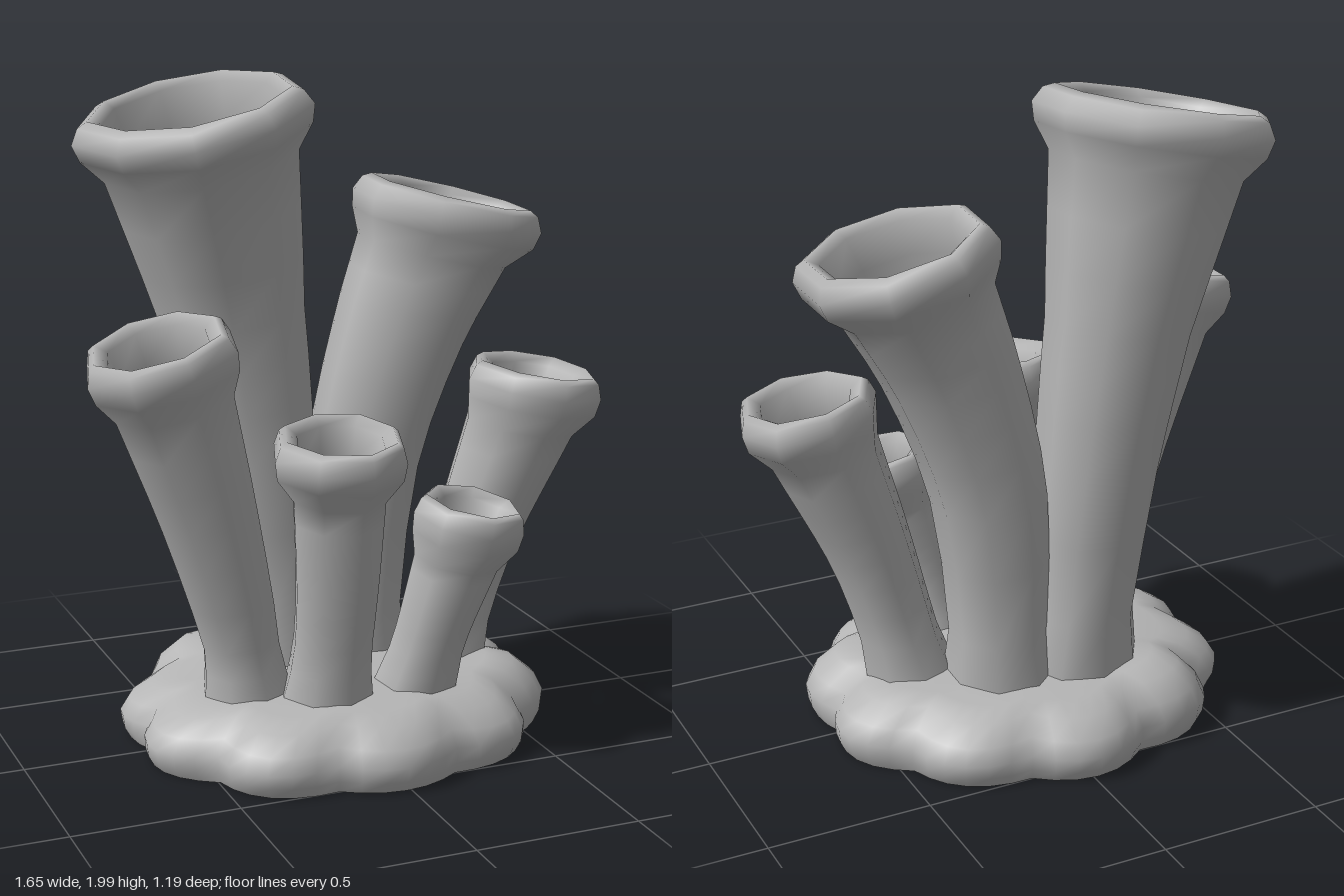
import * as THREE from 'three';

const grey = new THREE.MeshStandardMaterial({ color: 0xb6b6b6 });
grey.name = 'stone grey';

// Small seeded random in -1..1
function makeRandom(seed) {
  let s = seed;
  return () => {
    s = (s * 16807) % 2147483647;
    return (s / 2147483647) * 2 - 1;
  };
}

// Skin a list of closed rings (arrays of Vector3, counter-clockwise seen from the end of the path)
function skin(rings) {
  const n = rings[0].length, index = [];
  for (let i = 0; i < rings.length - 1; i++) {
    for (let j = 0; j < n; j++) {
      const k = (j + 1) % n, a = i * n, b = a + n;
      index.push(a + j, a + k, b + k, a + j, b + k, b + j);
    }
  }
  const geo = new THREE.BufferGeometry().setFromPoints(rings.flat());
  geo.setIndex(index);
  geo.computeVertexNormals();
  return geo;
}

// Ring around a centre, in the plane with the given normal
function ring(centre, normal, radius, turn, wobble) {
  const n = normal.clone().normalize();
  const q = new THREE.Quaternion().setFromUnitVectors(new THREE.Vector3(0, 1, 0), n);
  return wobble.map((w, j) => {
    const a = turn + (j / wobble.length) * Math.PI * 2, r = radius * (1 + w);
    return new THREE.Vector3(Math.cos(a) * r, 0, -Math.sin(a) * r).applyQuaternion(q).add(centre);
  });
}

// Hollow tube: stem stations are [x, y, z, radius]; rim is [x, y, z, lip radius, neck radius]
function tube({ stem, rim, tilt, sides, turn }, seed) {
  const rand = makeRandom(seed);
  const wobble = Array.from({ length: sides }, () => rand() * 0.035);
  const up = new THREE.Vector3(0, 1, 0), axis = new THREE.Vector3(...tilt).normalize();
  const [x, y, z, lip, neckRadius] = rim;
  const top = new THREE.Vector3(x, y, z);
  const points = stem.map((p) => new THREE.Vector3(p[0], p[1], p[2]));
  const neck = points.at(-1).clone().sub(top).setLength(0.12).add(top);
  const curve = new THREE.CatmullRomCurve3([...points, neck]);
  const radii = [...stem.map((p) => p[3]), neckRadius];
  const rings = [];

  // stem, flaring where it meets the base
  const steps = 9;
  for (let i = 0; i <= steps; i++) {
    const t = i / steps, f = t * (radii.length - 1), k = Math.min(Math.floor(f), radii.length - 2);
    const centre = curve.getPoint(t);
    const flare = 1 + 0.35 * Math.max(0, 1 - (centre.y - 0.1) / 0.22);
    const r = THREE.MathUtils.lerp(radii[k], radii[k + 1], f - k) * flare;
    rings.push(ring(centre, up.clone().lerp(axis, t), r, turn, wobble));
  }

  // rolled lip: [height along axis, share of lip radius]; small tubes have narrower mouths
  const mouth = 0.5 + 0.62 * lip;
  for (const [h, s] of [[-0.045, 0.96], [0.01, 1], [0.055, 0.93], [0.07, 0.84], [0.045, mouth + 0.03]]) {
    rings.push(ring(top.clone().addScaledVector(axis, h), axis, lip * s, turn, wobble));
  }

  // hollow, tapering down inside the stem
  const down = neck.clone().sub(top).normalize();
  for (const [h, s] of [[0.06, 0.95], [0.25, 0.82], [0.45, 0.55], [0.55, 0]]) {
    const depth = h * (0.5 + lip * 1.6);
    rings.push(ring(top.clone().addScaledVector(down, depth), axis, lip * mouth * s, turn, wobble));
  }
  return new THREE.Mesh(skin(rings), grey);
}

// Lobed, flat-bottomed base; layers are [height, size, depth of the dips between lobes]
function makeBase() {
  const rand = makeRandom(77), lobes = 10, n = 60;
  const size = Array.from({ length: lobes }, () => rand());
  const layer = (y, s, dip) => Array.from({ length: n }, (_, j) => {
    const a = (j / n) * Math.PI * 2;
    const k = Math.round((a / (Math.PI * 2)) * lobes) % lobes;
    const lobe = Math.abs(Math.cos((a * lobes) / 2));
    const r = s * (1 - dip * (1 - lobe) + 0.15 * dip * size[k] * lobe);
    const height = y * (1 + dip * size[(k + 3) % lobes] * lobe);
    return new THREE.Vector3(-0.015 + Math.sin(a) * r * 0.67, height, Math.cos(a) * r * 0.595);
  });
  const group = new THREE.Group();
  group.name = 'base';
  const side = [[0, 0.96, 0.08], [0.035, 0.99, 0.09], [0.08, 1, 0.1], [0.13, 0.96, 0.11],
    [0.18, 0.86, 0.12], [0.2, 0.72, 0.08], [0.2, 0.5, 0], [0.21, 0.25, 0], [0.21, 0.002, 0]];
  const mound = new THREE.Mesh(skin(side.map((p) => layer(...p))), grey);
  mound.name = 'mound';
  const underside = new THREE.Mesh(skin([layer(0, 0, 0), layer(0, 0.96, 0.08)]), grey);
  underside.name = 'underside';
  group.add(mound, underside);
  return group;
}

const tubes = {
  tallTube: {
    stem: [[-0.13, 0.1, -0.17, 0.16], [-0.195, 0.85, -0.21, 0.19], [-0.255, 1.28, -0.22, 0.22]],
    rim: [-0.375, 1.86, -0.195, 0.36, 0.29], tilt: [-0.21, 1, 0.09], sides: 9, turn: 0.2,
  },
  leaningTube: {
    stem: [[0.105, 0.1, -0.165, 0.14], [0.15, 0.78, -0.175, 0.175], [0.265, 1.18, -0.17, 0.205]],
    rim: [0.425, 1.545, -0.17, 0.3, 0.235], tilt: [0.24, 1, 0.03], sides: 8, turn: 0.3,
  },
  rightTube: {
    stem: [[-0.32, 0.1, 0.09, 0.115], [-0.355, 0.35, 0.1, 0.12], [-0.455, 0.75, 0.12, 0.152]],
    rim: [-0.6, 1.23, 0.15, 0.234, 0.185], tilt: [-0.28, 1, 0.1], sides: 8, turn: 0.1,
  },
  leftTube: {
    stem: [[0.33, 0.1, -0.025, 0.115], [0.445, 0.55, 0.02, 0.133]],
    rim: [0.62, 1.03, 0.065, 0.214, 0.17], tilt: [0.16, 1, 0.05], sides: 8, turn: 0,
  },
  frontTube: {
    stem: [[-0.12, 0.1, 0.19, 0.12], [-0.115, 0.5, 0.27, 0.128]],
    rim: [-0.126, 0.95, 0.33, 0.207, 0.145], tilt: [0, 1, 0.12], sides: 8, turn: 0.1,
  },
  shortTube: {
    stem: [[0.14, 0.1, 0.2, 0.105], [0.205, 0.4, 0.27, 0.115]],
    rim: [0.29, 0.7, 0.31, 0.172, 0.13], tilt: [0.17, 1, 0.1], sides: 7, turn: 0.2,
  },
};

export function createModel() {
  const model = new THREE.Group();
  model.name = 'tubeSponge';
  model.add(makeBase());
  Object.entries(tubes).forEach(([name, spec], i) => {
    const mesh = tube(spec, 101 + i * 37);
    mesh.name = name;
    model.add(mesh);
  });
  return model;
}
